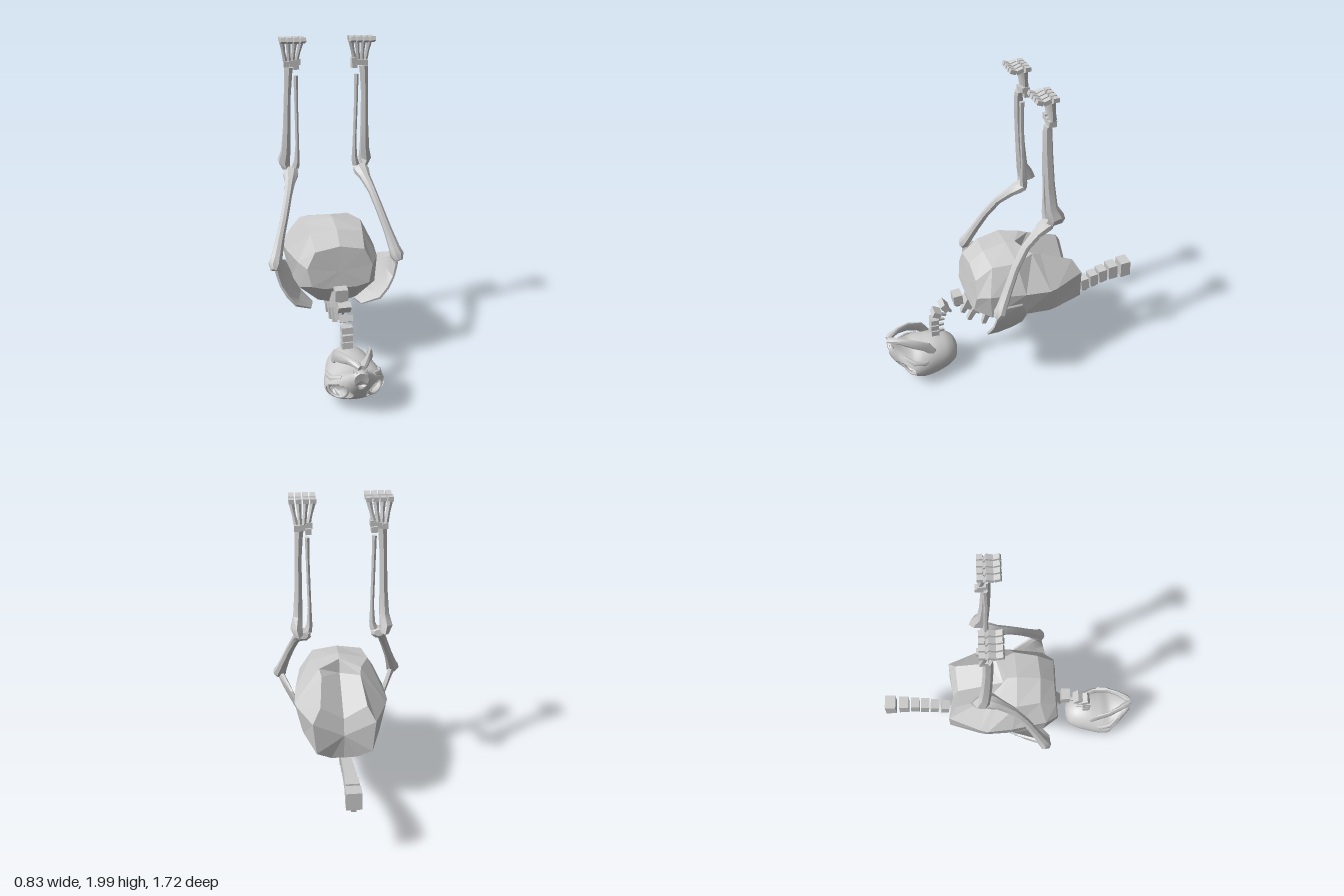
import * as THREE from 'three';
import { toCreasedNormals } from 'three/addons/utils/BufferGeometryUtils.js';

const boneGrey = new THREE.MeshStandardMaterial({ color: 0xcccccc });
boneGrey.name = 'boneGrey';

const V = (x, y, z) => new THREE.Vector3(x, y, z);

function addMesh(parent, name, geometry) {
  const mesh = new THREE.Mesh(geometry, boneGrey);
  mesh.name = name;
  parent.add(mesh);
  return mesh;
}

// Closed skin over a list of equal-length rings, with fan caps
function skin(rings, crease) {
  const n = rings[0].length, pos = [], idx = [];
  rings.forEach(r => r.forEach(p => pos.push(p.x, p.y, p.z)));
  for (let i = 0; i < rings.length - 1; i++) {
    for (let j = 0; j < n; j++) {
      const k = (j + 1) % n, a = i * n, b = a + n;
      idx.push(a + j, a + k, b + j, a + k, b + k, b + j);
    }
  }
  [0, rings.length - 1].forEach((r, end) => {
    const c = rings[r].reduce((s, p) => s.add(p), V(0, 0, 0)).divideScalar(n);
    const ci = pos.length / 3;
    pos.push(c.x, c.y, c.z);
    for (let j = 0; j < n; j++) {
      const k = (j + 1) % n;
      if (end) idx.push(ci, r * n + j, r * n + k);
      else idx.push(ci, r * n + k, r * n + j);
    }
  });
  const g = new THREE.BufferGeometry();
  g.setAttribute('position', new THREE.Float32BufferAttribute(pos, 3));
  g.setIndex(idx);
  return toCreasedNormals(g, crease);
}

// Bone along stations [x, y, z, half width, half depth]; s mirrors in x,
// yaw pulls the rear edge of a flat bone inward
function bone(stations, s = 1, sides = 8, crease = 0.6, yaw = 0) {
  const pts = stations.map(q => V(q[0] * s, q[1], q[2]));
  const rings = stations.map((q, i) => {
    const t = pts[Math.min(i + 1, pts.length - 1)].clone().sub(pts[Math.max(i - 1, 0)]).normalize();
    const v = t.clone().cross(V(1, 0, 0)).normalize();
    const u = v.clone().cross(t);
    return Array.from({ length: sides }, (_, j) => {
      const a = (j + 0.5) / sides * Math.PI * 2;
      const p = pts[i].clone().addScaledVector(u, Math.cos(a) * q[3]).addScaledVector(v, Math.sin(a) * q[4]);
      p.x += s * yaw * (p.z - .2);
      return p;
    });
  });
  return skin(rings, crease);
}

// Faceted rib cage, hollowed behind the breastbone
function ribCage() {
  const halves = [
    [[0, .815, .28], [.15, .79, .285], [.2, .69, .295], [.175, .58, .31], [.1, .56, .31], [0, .56, .31]],
    [[0, .89, .19], [.16, .87, .18], [.245, .71, .22], [.235, .54, .21], [.12, .44, .2], [0, .41, .2]],
    [[0, .92, .04], [.185, .885, .03], [.28, .70, .0], [.25, .52, .0], [.13, .405, .02], [0, .375, .02]],
    [[0, .915, -.02], [.13, .89, -.09], [.29, .69, -.16], [.25, .5, -.17], [.13, .395, -.17], [0, .37, -.17]],
    [[0, .83, -.05], [.12, .87, -.15], [.275, .69, -.21], [.24, .5, -.22], [.12, .4, -.22], [0, .375, -.22]],
    [[0, .69, -.35], [.14, .785, -.36], [.19, .70, -.41], [.17, .49, -.42], [.08, .43, -.39], [0, .42, -.38]],
  ];
  return skin(halves.map(h => [
    ...h.map(p => V(...p)),
    ...h.slice(1, -1).reverse().map(p => V(-p[0], p[1], p[2])),
  ]), 0.02);
}

// Skull: oval sections along z, with eye sockets and nose pushed in
function cranium() {
  const sections = [ // z, centre y, half width, half height
    [.40, .15, .035, .035], [.42, .145, .085, .08], [.47, .145, .12, .115], [.56, .14, .148, .135],
    [.65, .14, .170, .125], [.71, .15, .170, .10], [.76, .175, .135, .09], [.80, .205, .09, .085],
    [.835, .245, .058, .065], [.853, .26, .04, .042],
  ];
  const a = new THREE.CatmullRomCurve3(sections.map(q => V(q[0], q[1], q[2])));
  const b = new THREE.CatmullRomCurve3(sections.map(q => V(q[3], 0, 0)));
  const rings = [];
  for (let i = 0; i <= 36; i++) {
    const c = a.getPoint(i / 36), h = b.getPoint(i / 36).x;
    rings.push(Array.from({ length: 32 }, (_, j) => {
      const t = j / 32 * Math.PI * 2;
      const p = V(Math.cos(t) * c.z, c.y + Math.sin(t) * h, c.x);
      const eye = ((Math.abs(p.x) - .105) / .062) ** 2 + ((p.y - .145) / .05) ** 2;
      if (p.z > .66 && eye < 1) p.z -= .08 * Math.sqrt(1 - eye);
      const nose = (p.x / .03) ** 2 + ((p.y - .235) / .03) ** 2;
      if (p.z > .78 && nose < 1) p.z -= .035 * (1 - nose);
      return p;
    }));
  }
  return skin(rings, 0.5);
}

function buildSkull() {
  const skull = new THREE.Group();
  skull.name = 'skull';
  addMesh(skull, 'cranium', cranium());
  for (const s of [1, -1]) {
    const rim = addMesh(skull, 'eyeSocketRim', new THREE.TorusGeometry(.058, .009, 6, 20));
    rim.scale.y = .85;
    rim.position.set(.106 * s, .145, .735);
    rim.rotation.y = .6 * s;
    addMesh(skull, 'cheekBone', bone([
      [.135, .18, .60, .010, .015], [.150, .19, .65, .012, .018], [.140, .20, .71, .014, .022], [.09, .225, .77, .014, .022],
    ], s));
    addMesh(skull, 'lowerJaw', bone([
      [.105, .23, .575, .010, .025], [.102, .29, .62, .011, .036], [.088, .325, .70, .013, .034],
      [.056, .342, .77, .016, .024], [.022, .342, .825, .022, .020], [.008, .335, .848, .016, .016],
    ], s));
    // Front teeth
    for (let i = 0; i < 2; i++) {
      const tooth = addMesh(skull, 'tooth', new THREE.ConeGeometry(.009, .04 - i * .005, 5));
      tooth.position.set(s * (.025 + i * .013), .295, .842 - i * .018);
    }
  }
  return skull;
}

// Spine: block plus a tapering bony spur for each vertebra
function buildSpine() {
  const spine = new THREE.Group();
  spine.name = 'spine';
  const list = [ // z, y, block size, spur direction z, spur direction y, spur length
    [.535, .305, .050, -1, -.1, .04], [.535, .352, .050, -1, -.05, .04], [.532, .40, .052, -1, -.1, .04],
    [.515, .46, .056, -1, -.6, .045], [.46, .505, .06, -.7, -1, .045], [.37, .55, .06, -.05, -1, .03],
    [.30, .495, .06, .5, -1, .05], [.245, .445, .06, .5, -1, .08], [.155, .395, .06, .35, -1, .09],
    [.06, .375, .06, .2, -1, .10], [-.04, .367, .058, .12, -1, .095], [-.125, .355, .056, .05, -1, .03],
    [-.22, .36, .056, 0, -1, .03], [-.32, .365, .056, 0, -1, .025], [-.39, .38, .052, -.15, -1, .025],
    [-.46, .405, .052, -.15, -1, .025], [-.53, .43, .054, -.15, -1, .025], [-.595, .45, .056, -.12, -1, .025],
    [-.66, .47, .058, -.1, -1, .025], [-.735, .485, .064, -.08, -1, .025], [-.825, .492, .071, -.05, -1, .03],
  ];
  list.forEach(([z, y, size, dz, dy, len], i) => {
    const vertebra = new THREE.Group();
    vertebra.name = 'vertebra';
    vertebra.position.set(-.012, y, z);
    vertebra.rotation.x = Math.atan2(-dz, -dy);
    const neck = i < 5, h = neck ? size : size * (i > 13 ? 1.6 : 1.2), d = neck ? .038 : size;
    addMesh(vertebra, 'vertebraBody', new THREE.BoxGeometry(size * 1.28, h, d));
    const w = neck ? .010 : .020;
    const spur = addMesh(vertebra, 'vertebraSpur', new THREE.CylinderGeometry(w * 1.5, w, len + .02, 4).rotateY(Math.PI / 4).toNonIndexed());
    spur.geometry.computeVertexNormals();
    spur.position.y = -h / 2 - len / 2 + .008;
    spine.add(vertebra);
  });
  return spine;
}

function buildForelimb(s) {
  const limb = new THREE.Group();
  limb.name = s > 0 ? 'leftForelimb' : 'rightForelimb';
  addMesh(limb, 'shoulderBlade', bone([
    [.165, .372, .13, .010, .06], [.25, .43, .125, .018, .14], [.30, .51, .12, .020, .145],
    [.342, .61, .135, .018, .12], [.365, .67, .185, .020, .055], [.368, .695, .20, .02, .03],
  ], s, 8, 0.3, .24));
  addMesh(limb, 'upperArm', bone([
    [.385, .67, .225, .026, .024], [.378, .70, .205, .044, .038], [.365, .74, .185, .036, .032],
    [.335, .84, .135, .027, .028], [.30, .95, .08, .025, .026], [.265, 1.06, .005, .025, .027],
    [.24, 1.125, -.075, .034, .031], [.228, 1.158, -.125, .050, .040], [.224, 1.17, -.155, .048, .036], [.224, 1.174, -.172, .030, .020],
  ], s));
  addMesh(limb, 'elbowBone', bone([
    [.25, 1.192, -.188, .028, .060], [.262, 1.235, -.182, .040, .050], [.252, 1.30, -.158, .031, .036],
    [.245, 1.45, -.143, .025, .031], [.24, 1.65, -.13, .022, .028], [.232, 1.79, -.125, .026, .027], [.23, 1.82, -.125, .030, .024],
  ], s, 6, 0.4));
  addMesh(limb, 'forearmBone', bone([
    [.195, 1.195, -.15, .026, .026], [.185, 1.235, -.145, .019, .022], [.182, 1.34, -.14, .012, .014],
    [.186, 1.60, -.13, .012, .014], [.187, 1.77, -.13, .014, .016],
  ], s, 6, 0.4));
  // Wrist blocks, then four fanned fingers bent forward at the tip
  [[.24, 1.835, -.145], [.205, 1.84, -.145], [.18, 1.82, -.16], [.175, 1.85, -.145]].forEach(([x, y, z]) => {
    addMesh(limb, 'wristBone', new THREE.BoxGeometry(.034, .034, .045)).position.set(x * s, y, z);
  });
  for (let i = 0; i < 4; i++) {
    const x0 = .18 + i * .022, x1 = .15 + i * .039;
    addMesh(limb, 'palmBone', bone([
      [x0, 1.855, -.152, .015, .018], [(x0 + x1) / 2, 1.91, -.143, .012, .014], [x1, 1.975, -.132, .018, .019],
    ], s, 6, 0.4));
    // Three finger joints, dipping in the middle
    [[1.985, -.15, .032, 0], [1.980, -.10, .044, .35], [1.982, -.06, .036, -.35]].forEach(([y, z, d, tilt]) => {
      const joint = addMesh(limb, 'fingerBone', new THREE.BoxGeometry(.031, .024, d));
      joint.position.set(x1 * s, y, z);
      joint.rotation.x = tilt;
    });
  }
  return limb;
}

export function createModel() {
  const model = new THREE.Group();
  model.name = 'skeleton';
  addMesh(model, 'ribCage', ribCage());
  model.add(buildSkull(), buildSpine(), buildForelimb(1), buildForelimb(-1));
  return model;
}
